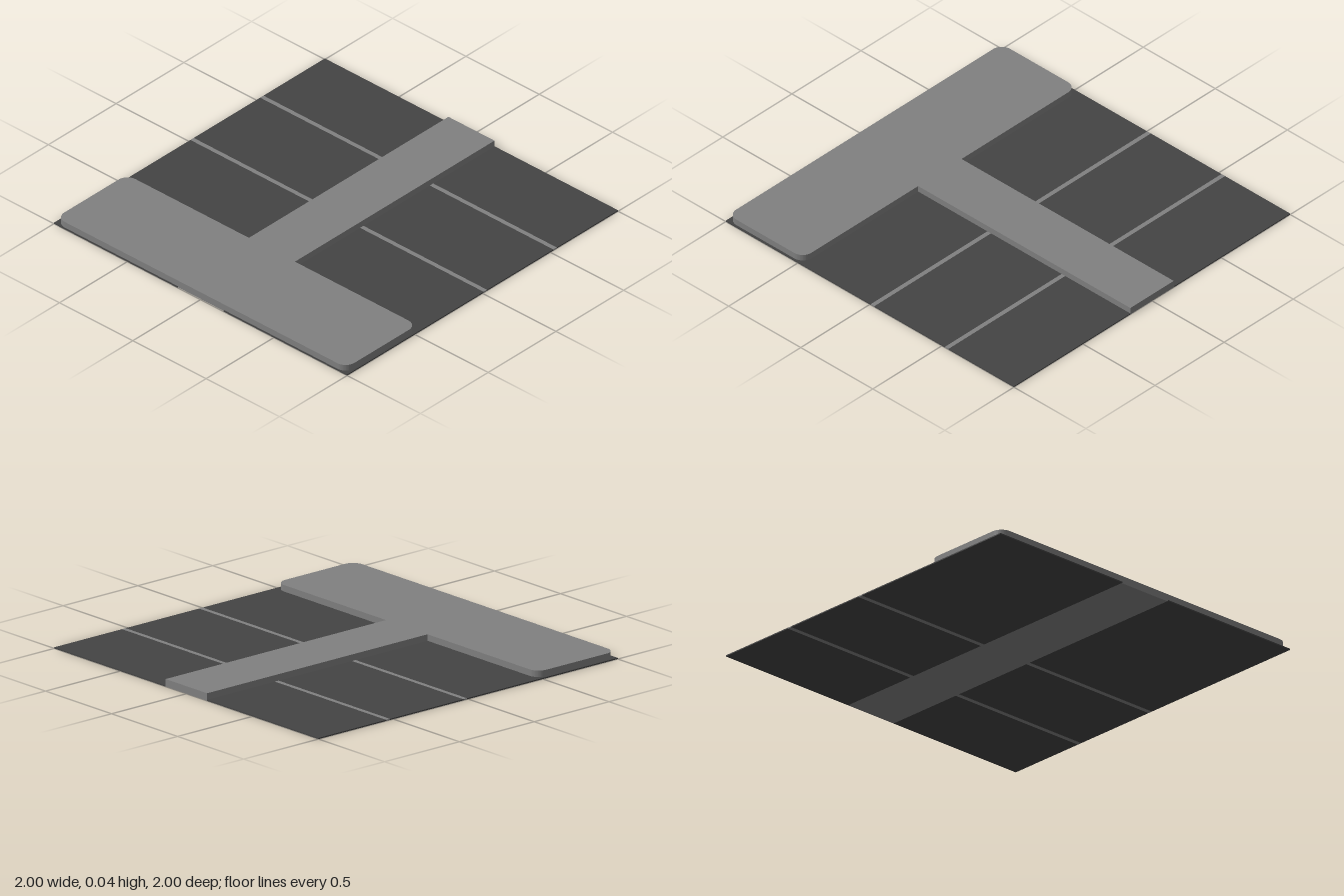
import * as THREE from 'three';

const PLATE = 0.006; // thickness of the ground plates
const TOP = 0.04;    // height of the paved slab

export function createModel() {
  const model = new THREE.Group();
  const paving = new THREE.MeshStandardMaterial({ name: 'light grey paving', color: 0x808080 });
  const asphalt = new THREE.MeshStandardMaterial({ name: 'dark grey asphalt', color: 0x444444 });

  const addBox = (name, mat, x0, x1, y0, y1, z0, z1) => {
    const mesh = new THREE.Mesh(new THREE.BoxGeometry(x1 - x0, y1 - y0, z1 - z0), mat);
    mesh.name = name;
    mesh.position.set((x0 + x1) / 2, (y0 + y1) / 2, (z0 + z1) / 2);
    model.add(mesh);
  };

  // Central walkway running from the back edge to the front
  addBox('walkway', paving, -0.157, 0.157, 0, TOP, -1, 0.48);
  addBox('walkwayFrontBase', paving, -0.157, 0.157, 0, PLATE, 0.48, 0.995);

  // Wide front platform with rounded corners
  const w = 0.99, z0 = 0.473, z1 = 0.995, r = 0.06;
  const outline = new THREE.Shape();
  outline.absarc(w - r, -z0 - r, r, 0, Math.PI / 2);
  outline.absarc(-w + r, -z0 - r, r, Math.PI / 2, Math.PI);
  outline.absarc(-w + r, -z1 + r, r, Math.PI, Math.PI * 1.5);
  outline.absarc(w - r, -z1 + r, r, Math.PI * 1.5, Math.PI * 2);
  const platformGeometry = new THREE.ExtrudeGeometry(outline, {
    depth: TOP - PLATE, bevelEnabled: false, curveSegments: 6,
  });
  platformGeometry.rotateX(-Math.PI / 2).translate(0, PLATE, 0);
  const platform = new THREE.Mesh(platformGeometry, paving);
  platform.name = 'frontPlatform';
  model.add(platform);

  // Parking bays on both sides, separated by painted lines
  const lines = [-0.535, -0.02];
  const half = 0.0125;
  const edges = [-1, ...lines.flatMap((z) => [z - half, z + half]), 1];
  for (const side of [-1, 1]) {
    const [x0, x1] = side < 0 ? [-1, -0.157] : [0.157, 1];
    const label = side < 0 ? 'right' : 'left';
    for (let i = 0; i < edges.length - 1; i++) {
      const isLine = i % 2 === 1;
      addBox(label + (isLine ? 'BayLine' : 'Bay'), isLine ? paving : asphalt,
        x0, x1, 0, PLATE, edges[i], edges[i + 1]);
    }
  }
  return model;
}
